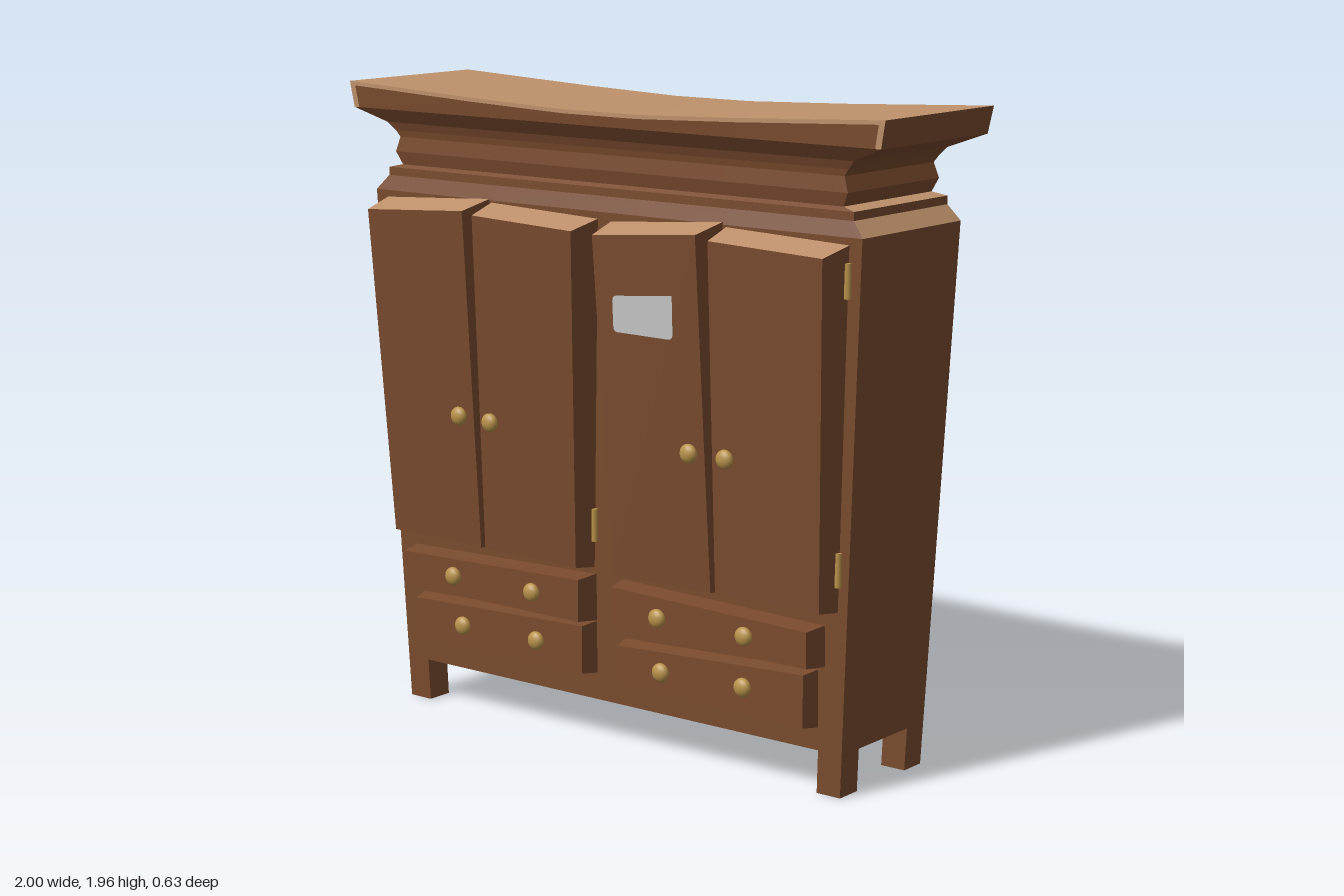
import * as THREE from 'three';

const mat = (name, color, side = THREE.FrontSide) => {
  const m = new THREE.MeshStandardMaterial({ color, side });
  m.name = name;
  return m;
};

// Flat-shaded surface from a list of four-cornered faces
function quadGeometry(quads) {
  const pos = [];
  for (const [a, b, c, d] of quads) pos.push(...a, ...b, ...c, ...a, ...c, ...d);
  const g = new THREE.BufferGeometry();
  g.setAttribute('position', new THREE.Float32BufferAttribute(pos, 3));
  g.computeVertexNormals();
  return g;
}

// The case widens evenly from the floor to the shoulder
function taper(g) {
  const p = g.attributes.position;
  for (let i = 0; i < p.count; i++) {
    const t = p.getY(i) / 1.63;
    p.setX(i, p.getX(i) * (1 + 0.093 * t));
    p.setZ(i, -0.042 + (p.getZ(i) + 0.042) * (1 + 0.19 * t));
  }
  g.computeVertexNormals();
  return g;
}

const box = (x0, x1, y0, y1, z0, z1) =>
  new THREE.BoxGeometry(x1 - x0, y1 - y0, z1 - z0).translate((x0 + x1) / 2, (y0 + y1) / 2, (z0 + z1) / 2);

const caseFront = (y) => 0.166 + 0.024 * y;
const doorFront = (y) => 0.25 + 0.06 * (y - 0.557);

export function createModel() {
  const root = new THREE.Group();
  root.name = 'wardrobe';
  const wood = mat('brown wood', 0x7a4b2e);
  const worn = mat('worn pale wood', 0xbe916b);
  const brass = mat('brass', 0xb8924a);
  const paper = mat('grey paper', 0xc8c8c8, THREE.DoubleSide);
  const add = (name, geometry, material, parent = root) => {
    const m = new THREE.Mesh(geometry, material);
    m.name = name;
    parent.add(m);
    return m;
  };

  // Case and legs
  add('case', taper(box(-0.837, 0.837, 0.13, 1.63, -0.232, 0.166)), wood);
  for (const s of [-1, 1])
    for (const [z0, z1] of [[0.081, 0.166], [-0.25, -0.165]])
      add('leg', taper(box(Math.min(s * 0.837, s * 0.755), Math.max(s * 0.837, s * 0.755), 0, 0.13, z0, z1)), wood);

  // Back frame around two sunken panels
  const rect = (P, x0, x1, y0, y1) => {
    const s = new P();
    s.moveTo(x0, y0).lineTo(x1, y0).lineTo(x1, y1).lineTo(x0, y1).closePath();
    return s;
  };
  const frame = rect(THREE.Shape, -0.837, 0.837, 0.13, 1.63);
  frame.holes.push(rect(THREE.Path, -0.76, -0.035, 0.2, 1.57), rect(THREE.Path, 0.035, 0.76, 0.2, 1.57));
  const frameGeo = new THREE.ExtrudeGeometry(frame, { depth: 0.018, bevelEnabled: false });
  add('backFrame', taper(frameGeo.translate(0, 0, -0.25)), wood);

  // Shoulder, mouldings and sagging crown: [half width, y, front z, back z]
  const rings = [
    [0.915, 1.63, 0.205, -0.29], [0.875, 1.675, 0.19, -0.28], [0.875, 1.7, 0.19, -0.28],
    [0.83, 1.71, 0.176, -0.265], [0.85, 1.75, 0.185, -0.272], [0.835, 1.795, 0.18, -0.266],
    [0.85, 1.815, 0.184, -0.27], [0.875, 1.84, 0.194, -0.275], [0.985, 1.882, 0.225, -0.312],
    [0.998, 1.95, 0.228, -0.317], [1, 1.962, 0.228, -0.318],
  ];
  const stations = [-1, -0.98, -0.5, -0.14, 0.14, 0.5, 0.98, 1];
  const n = stations.length;
  const sag = (x) => 0.037 * (1 - Math.max(0, (Math.abs(x) - 0.14) / 0.86) ** 1.2);
  const loops = rings.map(([w, y, zf, zb], r) => {
    const point = (z) => (x) => [x * w, y - (r > 8 ? sag(x) : 0), z];
    return [...stations.map(point(zf)), ...[...stations].reverse().map(point(zb))];
  });
  const brown = [], pale = [];
  for (let r = 0; r < loops.length - 1; r++)
    for (let i = 0; i < 2 * n; i++) {
      const j = (i + 1) % (2 * n);
      const side = i % n === n - 1;
      const corner = i % n === 0 || i % n === n - 2;
      const isPale = side ? r === 0 || r === 2 : r === 9 || (r === 8 && corner);
      (isPale ? pale : brown).push([loops[r][i], loops[r][j], loops[r + 1][j], loops[r + 1][i]]);
    }
  const top = loops[loops.length - 1];
  for (let i = 0; i < n - 1; i++) pale.push([top[i], top[i + 1], top[2 * n - 2 - i], top[2 * n - 1 - i]]);
  add('cornice', quadGeometry(brown), wood);
  add('corniceWornFaces', quadGeometry(pale), worn);

  // Bevelled front: corners BL, BR, TR, TL; the back outline is larger
  function panel(name, corners, frontZ, side, up, down, topMaterial) {
    const g = new THREE.Group();
    g.name = name;
    const f = corners.map(([x, y]) => [x, y, frontZ(y)]);
    const b = corners.map(([x, y], i) => {
      const yb = y + (i > 1 ? up : -down);
      return [x + (i === 1 || i === 2 ? side : -side), yb, caseFront(yb) - 0.004];
    });
    const face = (i, j) => [b[i], b[j], f[j], f[i]];
    add(name + 'Front', quadGeometry([f, face(0, 1), face(1, 2), face(3, 0)]), wood, g);
    add(name + 'Top', quadGeometry([face(2, 3)]), topMaterial, g);
    root.add(g);
  }
  const doors = [
    [[-0.815, 0.565], [-0.457, 0.56], [-0.464, 1.607], [-0.853, 1.582]],
    [[-0.44, 0.56], [-0.078, 0.554], [-0.04, 1.582], [-0.425, 1.597]],
    [[0.067, 0.557], [0.43, 0.56], [0.418, 1.61], [0.04, 1.578]],
    [[0.447, 0.56], [0.815, 0.56], [0.856, 1.582], [0.462, 1.597]],
  ];
  for (const d of doors) panel('door', d, doorFront, 0.016, 0.028, 0.008, worn);
  const drawers = [
    [0.25, [[-0.782, 0.392], [-0.07, 0.388], [-0.07, 0.518], [-0.782, 0.5]]],
    [0.25, [[0.06, 0.388], [0.772, 0.392], [0.772, 0.5], [0.06, 0.518]]],
    [0.23, [[-0.75, 0.222], [-0.072, 0.222], [-0.072, 0.37], [-0.75, 0.35]]],
    [0.23, [[0.067, 0.222], [0.748, 0.207], [0.748, 0.365], [0.067, 0.335]]],
  ];
  for (const [z, d] of drawers) panel('drawer', d, () => z, 0.014, 0.008, 0.008, wood);

  // Round knobs
  const knobGeo = new THREE.SphereGeometry(0.029, 16, 10).scale(1, 1, 0.65);
  const knobs = [[-0.515, 0.97], [-0.39, 0.965], [0.372, 0.97], [0.502, 0.97]].map(([x, y]) => [x, y, doorFront(y)]);
  for (const x of [-0.57, -0.25, 0.237, 0.555]) knobs.push([x, 0.452, 0.25]);
  for (const [x, y] of [[-0.55, 0.292], [-0.25, 0.296], [0.235, 0.282], [0.537, 0.292]]) knobs.push([x, y, 0.23]);
  for (const [x, y, z] of knobs) add('knob', knobGeo, brass).position.set(x, y, z + 0.006);

  // Door hinges
  const hingeGeo = new THREE.CylinderGeometry(0.01, 0.01, 0.1, 8);
  for (const s of [-1, 1])
    for (const [x, y] of [[0.872, 1.51], [0.838, 0.68], [0.02, 1.51], [0.052, 0.68]])
      add('hinge', hingeGeo, brass).position.set(s * x, y, caseFront(y) + 0.009);

  // Notice on a door: a slightly skewed sheet with rounded corners
  const sheet = new THREE.Shape();
  sheet.moveTo(0.125, 1.3).lineTo(0.312, 1.298).quadraticCurveTo(0.33, 1.3, 0.328, 1.32)
    .lineTo(0.33, 1.428).lineTo(0.235, 1.418).lineTo(0.125, 1.408)
    .quadraticCurveTo(0.11, 1.406, 0.11, 1.39).lineTo(0.11, 1.315).quadraticCurveTo(0.11, 1.3, 0.125, 1.3);
  const sheetGeo = new THREE.ShapeGeometry(sheet, 4);
  const p = sheetGeo.attributes.position;
  for (let i = 0; i < p.count; i++) p.setZ(i, doorFront(p.getY(i)) + 0.004);
  sheetGeo.computeVertexNormals();
  add('notice', sheetGeo, paper);

  return root;
}
